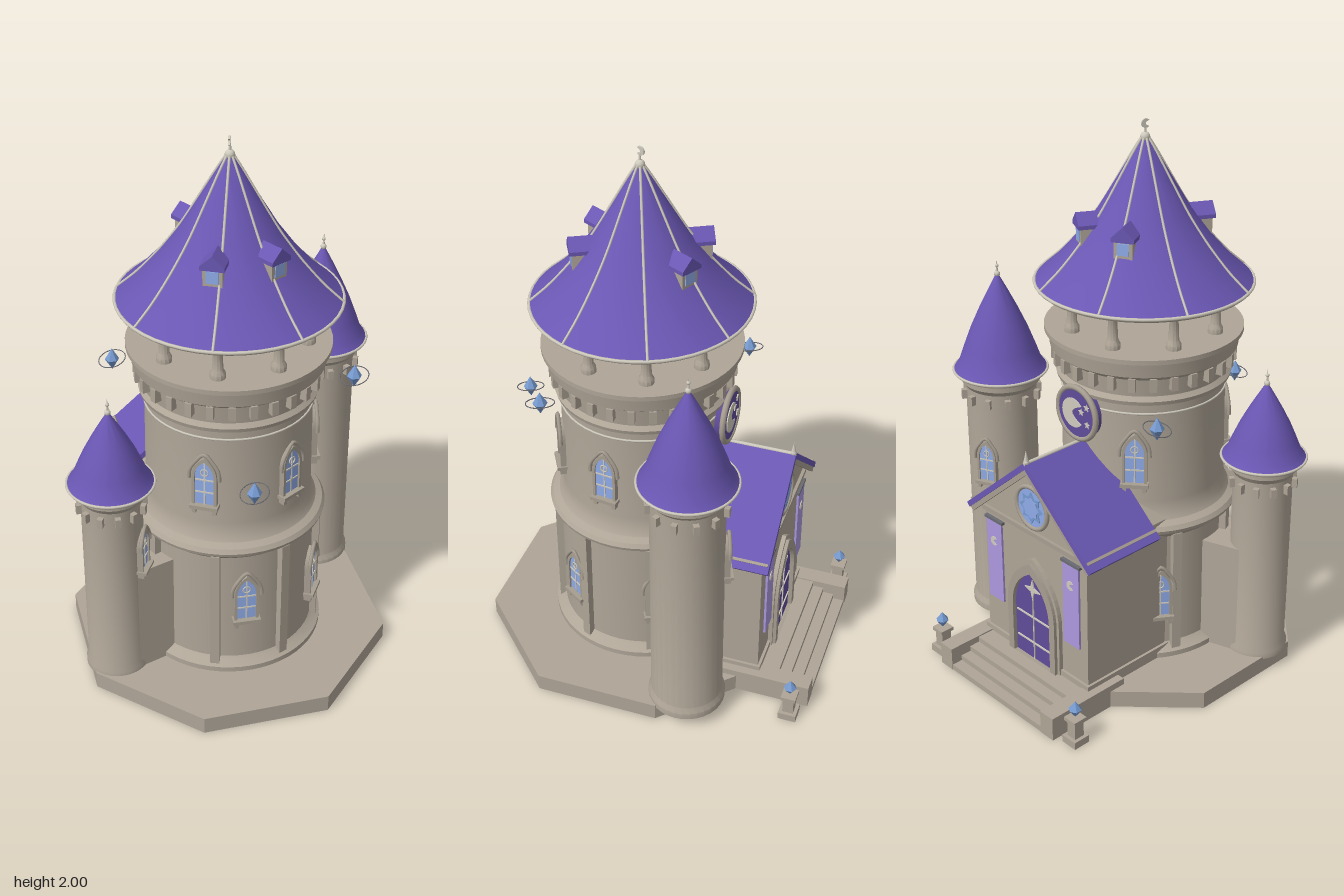
import * as THREE from 'three';
import { toCreasedNormals } from 'three/addons/utils/BufferGeometryUtils.js';

const mat = (name, color) => {
  const m = new THREE.MeshStandardMaterial({ color });
  m.name = name;
  return m;
};

export function createModel() {
  const stone = mat('stone', 0xafa597), trim = mat('trimStone', 0xa79e91), roofM = mat('roofPurple', 0x6a57b3);
  const doorM = mat('doorPurple', 0x5f4c9a), cloth = mat('bannerLavender', 0xac98de), glass = mat('glass', 0x8fabe8);
  const crystalM = mat('crystal', 0x769ad0), pale = mat('paleMetal', 0xcfcabd), iron = mat('ironRing', 0x6a6a72);
  const root = new THREE.Group();
  root.name = 'castle';

  // ---- helpers ----
  const add = (parent, name, geo, m, x = 0, y = 0, z = 0) => {
    const mesh = new THREE.Mesh(geo, m);
    mesh.name = name;
    mesh.position.set(x, y, z);
    parent.add(mesh);
    return mesh;
  };
  const group = (parent, name, x = 0, y = 0, z = 0, ry = 0) => {
    const g = new THREE.Group();
    g.name = name;
    g.position.set(x, y, z);
    g.rotation.y = ry;
    parent.add(g);
    return g;
  };
  const box = (p, name, m, w, h, d, x, y, z) => add(p, name, new THREE.BoxGeometry(w, h, d), m, x, y, z);
  const lathe = (pts, seg = 48) =>
    toCreasedNormals(new THREE.LatheGeometry(pts.map(p => new THREE.Vector2(...p)), seg), 0.5);
  const ring = (p, name, m, r, t, y) => {
    const mesh = add(p, name, new THREE.TorusGeometry(r, t, 6, 48), m, 0, y, 0);
    mesh.rotation.x = Math.PI / 2;
    return mesh;
  };
  const extrude = (shape, depth) => new THREE.ExtrudeGeometry(shape, { depth, bevelEnabled: false, curveSegments: 10 });
  const deg = Math.PI / 180;
  const around = (n, start, fn) => { for (let i = 0; i < n; i++) fn(start + i * 2 * Math.PI / n); };

  // pointed arch, base at y = 0
  const archPath = (w, h, spring, Type = THREE.Shape) => {
    const s = new Type();
    const c = spring + (h - spring) * 0.65;
    s.moveTo(-w, 0);
    s.lineTo(w, 0);
    s.lineTo(w, spring);
    s.quadraticCurveTo(w, c, 0, h);
    s.quadraticCurveTo(-w, c, -w, spring);
    s.lineTo(-w, 0);
    return s;
  };
  const archFrame = (w, h, spring, t) => {
    const s = archPath(w + t, h + t * 1.5, spring);
    s.holes.push(archPath(w, h, spring, THREE.Path));
    return s;
  };
  const moon = r => {
    const s = new THREE.Shape();
    s.absarc(0, 0, r, 0.7, 2 * Math.PI - 0.7, false);
    s.quadraticCurveTo(-r * 0.9, 0, r * Math.cos(0.7), r * Math.sin(0.7));
    return s;
  };
  const star = (n, R, r) => new THREE.Shape(Array.from({ length: n * 2 }, (_, i) => {
    const a = Math.PI / 2 + i * Math.PI / n, q = i % 2 ? r : R;
    return new THREE.Vector2(q * Math.cos(a), q * Math.sin(a));
  }));

  // arched window on a round wall
  const windowOn = (parent, az, r, y, s = 1) => {
    const g = group(group(parent, 'window', 0, 0, 0, az), 'windowParts', 0, y, r);
    g.scale.set(s, s, 1);
    add(g, 'windowGlass', extrude(archPath(0.034, 0.175, 0.11), 0.02), glass, 0, 0, -0.012);
    add(g, 'windowFrame', extrude(archFrame(0.034, 0.175, 0.11, 0.01), 0.035), trim, 0, 0, -0.02);
    const hood = new THREE.CatmullRomCurve3([[-0.054, 0.105], [-0.05, 0.14], [-0.03, 0.175], [0, 0.205],
      [0.03, 0.175], [0.05, 0.14], [0.054, 0.105]].map(p => new THREE.Vector3(p[0], p[1], 0.012)));
    add(g, 'windowHood', new THREE.TubeGeometry(hood, 20, 0.007, 6), trim);
    box(g, 'mullion', pale, 0.005, 0.17, 0.006, 0, 0.085, 0.008);
    for (const h of [0.05, 0.1]) box(g, 'windowBar', pale, 0.066, 0.005, 0.006, 0, h, 0.008);
    add(g, 'windowTracery', new THREE.TorusGeometry(0.013, 0.0025, 6, 16), pale, 0, 0.13, 0.01);
    box(g, 'windowSill', trim, 0.1, 0.014, 0.045, 0, -0.007, 0.005);
    for (const x of [-0.036, 0.036]) box(g, 'sillBracket', trim, 0.014, 0.022, 0.03, x, -0.025, 0.003);
  };
  const crystal = (parent, x, y, z, r, h) => {
    const c = add(parent, 'crystal', toCreasedNormals(new THREE.CylinderGeometry(0, r, h, 6), 0), crystalM, x, y + h / 2, z);
    add(c, 'crystalLower', toCreasedNormals(new THREE.CylinderGeometry(r, 0, h, 6), 0), crystalM, 0, -h, 0);
  };

  // ---- everything facing the porch direction ----
  const facing = Math.PI - 26.1 * deg;
  const base = group(root, 'castleBody', -0.035, 0, 0.11, facing);
  const vertex = Math.PI / 8;
  add(base, 'platform', toCreasedNormals(new THREE.CylinderGeometry(0.597, 0.597, 0.065, 8, 1, false, vertex), 0.3),
    stone, 0, 0.0325, 0);

  // ---- main tower ----
  const tower = group(base, 'mainTower');
  add(tower, 'towerWall', lathe([[0.35, 0.06], [0.35, 0.085], [0.325, 0.1], [0.315, 0.11], [0.312, 0.56], [0.348, 0.592],
    [0.352, 0.605], [0.342, 0.62], [0.318, 0.632], [0.304, 0.655], [0.298, 0.7], [0.294, 1.08], [0.312, 1.085], [0.316, 1.1],
    [0.302, 1.115], [0.31, 1.18], [0.336, 1.2], [0.343, 1.25], [0.355, 1.255], [0.355, 1.272], [0, 1.272]], 56), stone);
  ring(tower, 'stringCourse', pale, 0.296, 0.004, 1.045);
  around(8, vertex, a => {
    const g = group(tower, 'bay', 0, 0, 0, a);
    box(g, 'buttress', stone, 0.034, 0.51, 0.04, 0, 0.325, 0.318);
    add(g, 'belfryColumn', lathe([[0.027, 1.27], [0.027, 1.29], [0.019, 1.305], [0.015, 1.385], [0.025, 1.405],
      [0.025, 1.43]], 12), stone, 0, 0, 0.27);
  });
  around(28, 0, a => box(group(tower, 'corbel', 0, 0, 0, a), 'corbelBlock', stone, 0.024, 0.05, 0.034, 0, 1.167, 0.315));
  for (const a of [-150, -97, 150, 40]) windowOn(tower, a * deg, 0.299, 0.782);
  for (const [a, y] of [[177, 0.297], [-123, 0.262], [-63, 0.265], [57, 0.24]]) windowOn(tower, a * deg, 0.32, y);

  // main roof with ribs
  const roofPts = [[0.386, 1.432], [0.315, 1.495], [0.235, 1.585], [0.165, 1.68], [0.09, 1.805], [0.04, 1.89], [0.008, 1.94]];
  add(tower, 'mainRoof', lathe(roofPts, 56), roofM);
  add(tower, 'mainRoofSoffit', lathe([[0, 1.42], [0.38, 1.42], [0.387, 1.432]]), stone);
  ring(tower, 'mainEave', pale, 0.385, 0.006, 1.432);
  const ribCurve = new THREE.CatmullRomCurve3(roofPts.map(p => new THREE.Vector3(0, p[1] + 0.003, p[0])));
  around(8, vertex, a => add(group(tower, 'roofRib', 0, 0, 0, a), 'rib', new THREE.TubeGeometry(ribCurve, 16, 0.0045, 6), pale));
  add(tower, 'finialBall', new THREE.SphereGeometry(0.017, 16, 12), pale, 0, 1.938, 0);
  add(tower, 'finialRod', new THREE.CylinderGeometry(0.003, 0.006, 0.035, 8), pale, 0, 1.96, 0);
  add(tower, 'finialMoon', extrude(moon(0.016), 0.006), pale, 0, 1.984, 0).rotation.y = 225 * deg - facing;

  // roof dormers
  for (const a of [28, -28, 152, -152]) {
    const g = group(group(tower, 'dormer', 0, 0, 0, a * deg), 'dormerParts', 0, 1.6, 0.2);
    box(g, 'dormerBody', stone, 0.066, 0.07, 0.07, 0, 0.015, 0);
    add(g, 'dormerPane', new THREE.BoxGeometry(0.042, 0.042, 0.006), glass, 0, 0.016, 0.036);
    const s = new THREE.Shape([[-0.041, 0.042], [0.041, 0.042], [0.041, 0.056], [0, 0.094], [-0.041, 0.056]]
      .map(p => new THREE.Vector2(...p)));
    add(g, 'dormerRoof', extrude(s, 0.085), roofM, 0, 0, -0.04);
  }

  // belfry crystal and its rings
  crystal(tower, 0, 1.36, 0, 0.042, 0.062);
  for (const t of [0.2, -0.25]) ring(tower, 'orbitRing', iron, 0.108, 0.003, 1.36).rotation.y = t;

  // ---- side turrets with linking walls ----
  const turret = (name, x, z, r, R, eave, apex, wallTop, wallWidth, winAz, winY) => {
    const g = group(base, name, x, 0, z);
    add(g, 'turretWall', lathe([[0, 0.055], [r * 1.08, 0.055], [r * 1.08, 0.08], [r, 0.1], [r, eave - 0.06],
      [r * 1.12, eave - 0.04], [r * 1.12, eave - 0.02], [r * 1.2, eave - 0.01]], 32), stone);
    around(12, 0, a => box(group(g, 'corbel', 0, 0, 0, a), 'corbelBlock', stone, 0.02, 0.035, 0.024, 0, eave - 0.093, r + 0.006));
    const h = apex - eave;
    add(g, 'turretRoof', lathe([[R, eave], [R * 0.88, eave + h * 0.08], [R * 0.76, eave + h * 0.24], [R * 0.6, eave + h * 0.44],
      [R * 0.4, eave + h * 0.65], [R * 0.2, eave + h * 0.84], [0.004, apex]], 32), roofM);
    add(g, 'turretSoffit', lathe([[0, eave - 0.01], [R * 0.98, eave - 0.01], [R, eave]], 32), stone);
    ring(g, 'turretEave', pale, R, 0.005, eave);
    add(g, 'turretFinialBall', new THREE.SphereGeometry(0.011, 12, 8), pale, 0, apex, 0);
    add(g, 'turretFinialSpike', new THREE.ConeGeometry(0.005, 0.05, 8), pale, 0, apex + 0.03, 0);
    add(g, 'turretFinialBead', new THREE.SphereGeometry(0.007, 8, 6), pale, 0, apex + 0.03, 0);
    windowOn(g, winAz * deg, r, winY, 0.85);
    const d = Math.hypot(x, z);
    box(group(base, 'linkWall', 0, 0, 0, Math.atan2(x, z)), 'linkWallBlock', stone, wallWidth, wallTop - 0.06, d - 0.25,
      0, (wallTop + 0.06) / 2, (d + 0.25) / 2);
  };
  turret('tallTurret', -0.433, 0.311, 0.13, 0.172, 1.045, 1.41, 0.545, 0.12, 24, 0.64);
  turret('shortTurret', 0.455, -0.151, 0.107, 0.151, 0.85, 1.13, 0.5, 0.2, -121, 0.51);

  // ---- porch ----
  const porch = group(base, 'porch');
  const F = 0.535;
  const gable = new THREE.Shape([[-0.275, 0.05], [0.275, 0.05], [0.275, 0.635], [0, 0.872], [-0.275, 0.635]]
    .map(p => new THREE.Vector2(...p)));
  add(porch, 'porchWalls', extrude(gable, F - 0.12), stone, 0, 0, 0.12);
  box(porch, 'porchPlinth', stone, 0.57, 0.045, 0.4, 0, 0.085, 0.345);
  box(porch, 'porchCornice', trim, 0.56, 0.018, 0.02, 0, 0.615, F + 0.002);
  const slope = Math.atan2(0.285, 0.328);
  for (const s of [1, -1]) {
    const g = group(porch, 'porchRoofSide', s * 0.164, 0.752, 0.405);
    g.rotation.z = -s * slope;
    box(g, 'porchRoofSlab', roofM, 0.435, 0.02, 0.33, 0, 0, 0);
    box(g, 'bargeBoard', trim, 0.43, 0.024, 0.012, 0, -0.016, 0.155);
    box(g, 'porchSoffit', trim, 0.42, 0.006, 0.32, 0, -0.013, 0);
    box(g, 'roofEdgeStrip', trim, 0.01, 0.01, 0.32, s * 0.185, 0.012, 0);
    // banner beside the door
    box(porch, 'banner', cloth, 0.082, 0.335, 0.008, s * 0.207, 0.42, F + 0.012);
    box(porch, 'bannerRod', iron, 0.098, 0.01, 0.014, s * 0.207, 0.588, F + 0.012);
    add(porch, 'bannerMoon', extrude(moon(0.018), 0.003), pale, s * 0.207, 0.5, F + 0.016);
    // stair cheek and lantern post
    box(porch, 'stairCheek', stone, 0.065, 0.09, 0.34, s * 0.283, 0.045, 0.57);
    const post = group(porch, 'lanternPost', s * 0.373, 0, 0.685);
    box(post, 'postFoot', stone, 0.066, 0.028, 0.066, 0, 0.014, 0);
    box(post, 'postShaft', stone, 0.04, 0.065, 0.04, 0, 0.06, 0);
    box(post, 'postCap', stone, 0.055, 0.014, 0.055, 0, 0.098, 0);
    crystal(post, 0, 0.138, 0, 0.024, 0.032);
  }
  add(porch, 'ridgePole', new THREE.CylinderGeometry(0.007, 0.007, 0.33, 8), pale, 0, 0.902, 0.405).rotation.x = Math.PI / 2;
  add(porch, 'ridgeBall', new THREE.SphereGeometry(0.011, 12, 8), pale, 0, 0.906, 0.56);
  add(porch, 'ridgeFinial', new THREE.ConeGeometry(0.01, 0.045, 8), pale, 0, 0.93, 0.56);

  // rose window
  const rose = group(porch, 'roseWindow', 0, 0.72, F);
  add(rose, 'roseGlass', extrude(new THREE.Shape().absarc(0, 0, 0.078, 0, 2 * Math.PI), 0.008), glass);
  add(rose, 'roseRing', new THREE.TorusGeometry(0.08, 0.009, 8, 32), trim, 0, 0, 0.006);
  add(rose, 'roseStar', extrude(star(8, 0.062, 0.042), 0.003), crystalM, 0, 0, 0.008);
  add(rose, 'roseHeart', extrude(star(8, 0.042, 0.034), 0.003), glass, 0, 0, 0.011);

  // door
  const door = group(porch, 'door', 0, 0.085, F);
  add(door, 'doorLeaf', extrude(archPath(0.1, 0.37, 0.2), 0.012), doorM);
  add(door, 'doorFrame', extrude(archFrame(0.1, 0.37, 0.2, 0.028), 0.028), trim);
  add(door, 'doorHood', extrude(archFrame(0.128, 0.412, 0.2, 0.012), 0.016), stone);
  box(door, 'doorSeam', pale, 0.004, 0.3, 0.005, 0, 0.15, 0.014);
  for (const y of [0.07, 0.18]) box(door, 'doorStrap', pale, 0.18, 0.006, 0.005, 0, y, 0.014);
  add(door, 'doorStar', extrude(star(4, 0.042, 0.013), 0.005), pale, 0, 0.3, 0.013);

  // steps: a landing and three slabs
  for (let i = 0; i < 4; i++) {
    const end = 0.612 + i * 0.042, depth = i ? 0.06 : 0.1;
    box(porch, 'step', stone, 0.502, 0.022, depth, 0, 0.074 - i * 0.021, end - depth / 2);
  }

  // moon medallion above the porch roof
  const medal = group(base, 'medallion', 0, 1.015, 0.29);
  add(medal, 'medallionFace', new THREE.CylinderGeometry(0.094, 0.094, 0.036, 36), doorM, 0, 0, 0.022).rotation.x = Math.PI / 2;
  add(medal, 'medallionRim', new THREE.TorusGeometry(0.096, 0.011, 8, 36), trim, 0, 0, 0.034);
  add(medal, 'medallionMoon', extrude(moon(0.055), 0.005), pale, -0.012, 0, 0.039);
  for (const [x, y] of [[0.03, 0.015], [0.058, 0.04], [0.06, -0.025]])
    add(medal, 'medallionStar', extrude(star(5, 0.014, 0.006), 0.005), pale, x, y, 0.039);

  // ---- floating crystals ----
  for (const [x, y, z] of [[0.2, 1.195, 0.483], [-0.265, 0.94, 0.507], [-0.23, 1.07, -0.305]]) {
    const g = group(root, 'floatingCrystal', x, y, z);
    crystal(g, 0, 0, 0, 0.026, 0.043);
    ring(g, 'crystalRing', iron, 0.049, 0.0018, 0).rotation.y = 0.25;
  }
  return root;
}
